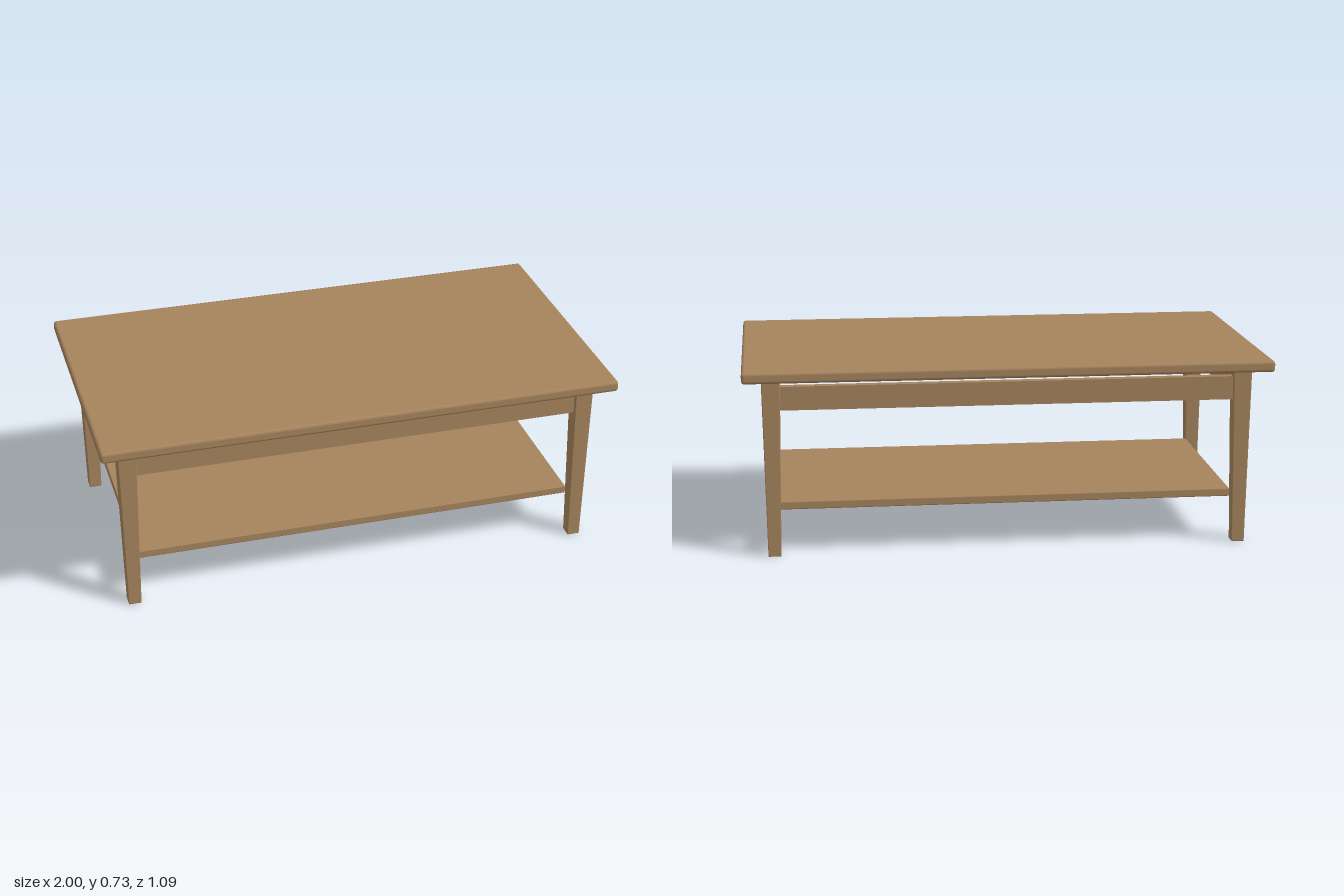
import * as THREE from 'three';
import { RoundedBoxGeometry } from 'three/addons/geometries/RoundedBoxGeometry.js';

const wood = new THREE.MeshStandardMaterial({ color: 0xa5835c });

const TOP_Y = 0.728, LEG_H = 0.685;
const LEG_X = 0.893, LEG_Z = 0.437;
const LEG_TOP = 0.071, LEG_FOOT = 0.049;

export function createModel() {
  const table = new THREE.Group();
  table.name = 'coffeeTable';

  const add = (name, geometry, x, y, z) => {
    const mesh = new THREE.Mesh(geometry, wood);
    mesh.name = name;
    mesh.position.set(x, y, z);
    table.add(mesh);
  };

  // Table top with rounded edges
  const topH = TOP_Y - LEG_H;
  add('tableTop', new RoundedBoxGeometry(2, topH, 1.09, 3, 0.012), 0, LEG_H + topH / 2, 0);

  // Square legs, narrowing towards the foot
  const leg = new RoundedBoxGeometry(LEG_TOP, LEG_H, LEG_TOP, 2, 0.004);
  const p = leg.attributes.position;
  for (let i = 0; i < p.count; i++) {
    const s = THREE.MathUtils.lerp(LEG_FOOT / LEG_TOP, 1, p.getY(i) / LEG_H + 0.5);
    p.setX(i, p.getX(i) * s);
    p.setZ(i, p.getZ(i) * s);
  }
  for (const [sx, side] of [[1, 'Left'], [-1, 'Right']]) {
    for (const [sz, end] of [[1, 'front'], [-1, 'back']]) {
      add(`${end}${side}Leg`, leg, sx * LEG_X, LEG_H / 2, sz * LEG_Z);
    }
  }

  // Apron rails between the legs, set a little below the top
  const railY = 0.61, railH = 0.09, railT = 0.035;
  const longRail = new THREE.BoxGeometry(1.72, railH, railT);
  const shortRail = new THREE.BoxGeometry(railT, railH, 0.808);
  add('frontApron', longRail, 0, railY, LEG_Z);
  add('backApron', longRail, 0, railY, -LEG_Z);
  add('leftApron', shortRail, LEG_X, railY, 0);
  add('rightApron', shortRail, -LEG_X, railY, 0);

  // Lower shelf, its corners meeting the inner corners of the legs
  add('shelf', new RoundedBoxGeometry(1.734, 0.031, 0.822, 2, 0.004), 0, 0.185, 0);

  return table;
}
